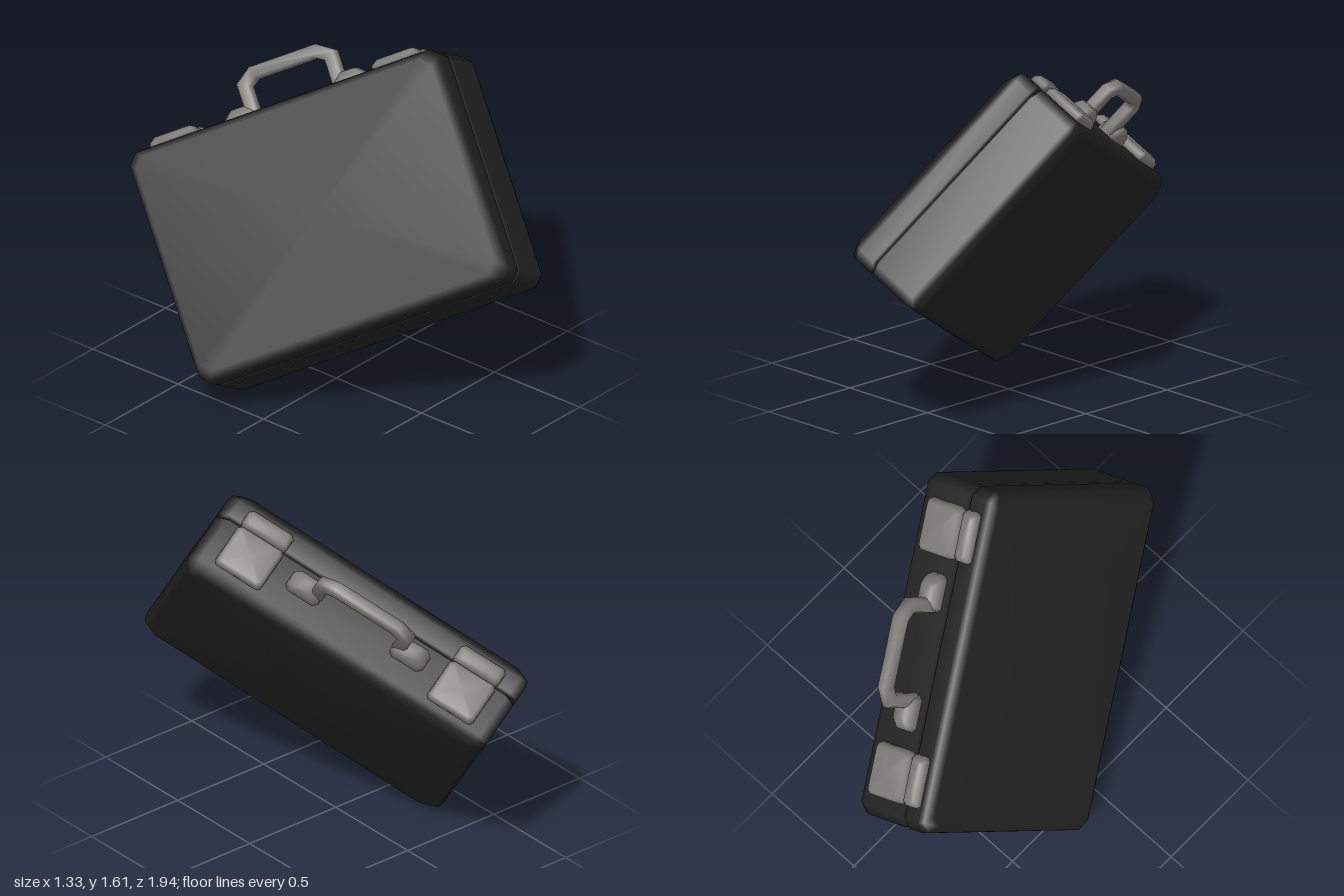
import * as THREE from 'three';
import { mergeVertices } from 'three/addons/utils/BufferGeometryUtils.js';

const L = 1.57, H = 1.115, T = 0.44;  // case length, height, thickness
const SEAM = 0.075;                   // z of the joint between lid and body

// Octagonal outline: half sizes with cut corners
function octagon(hx, hy, c) {
  return [[hx, -hy + c], [hx, hy - c], [hx - c, hy], [-hx + c, hy],
    [-hx, hy - c], [-hx, -hy + c], [-hx + c, -hy], [hx - c, -hy]];
}

// Loft outlines stacked along z, capped at both ends; rings are [z, halfX, halfY, cut]
function loft(rings) {
  const pos = [], idx = [], n = 8;
  for (const [z, hx, hy, c] of rings)
    for (const [x, y] of octagon(hx, hy, c)) pos.push(x, y, z);
  for (let r = 0; r < rings.length - 1; r++)
    for (let i = 0; i < n; i++) {
      const a = r * n + i, b = r * n + (i + 1) % n;
      idx.push(a, b, b + n, a, b + n, a + n);
    }
  const last = rings.length - 1, c0 = pos.length / 3;
  pos.push(0, 0, rings[0][0], 0, 0, rings[last][0]);
  for (let i = 0; i < n; i++) {
    const j = (i + 1) % n;
    idx.push(c0, j, i, c0 + 1, last * n + i, last * n + j);
  }
  const g = new THREE.BufferGeometry();
  g.setAttribute('position', new THREE.Float32BufferAttribute(pos, 3));
  g.setIndex(idx);
  g.computeVertexNormals();
  return g;
}

// Low mound standing on the top of the case: levels are [height, halfX, halfZ, cut]
function mound(levels, x, z) {
  return loft(levels).rotateX(-Math.PI / 2).translate(x, H / 2, z);
}

export function createModel() {
  const black = new THREE.MeshStandardMaterial({ color: 0x212121 });
  black.name = 'black leather';
  const metal = new THREE.MeshStandardMaterial({ color: 0x7c7a76 });
  metal.name = 'grey metal';

  // The case lies tilted: axes along its length, height and lid side
  const tilt = new THREE.Matrix4().makeBasis(
    new THREE.Vector3(0.70, 0.685, 1.205).normalize(),
    new THREE.Vector3(0.33, 0.765, -0.715).normalize(),
    new THREE.Vector3(-0.36, 0.22, 0.07).normalize()
  ).setPosition(0, 0.835, 0);

  const group = new THREE.Group();
  group.name = 'briefcase';
  const add = (name, geometry, material) => {
    geometry.applyMatrix4(tilt);
    const mesh = new THREE.Mesh(geometry, material);
    mesh.name = name;
    group.add(mesh);
  };
  const ring = (z, inset) => [z, L / 2 - inset, H / 2 - inset, 0.045];

  // Body and shallower lid, meeting in a narrow groove
  add('body', loft([ring(-T / 2, 0.045), ring(-T / 2 + 0.03, 0.008), ring(-T / 2 + 0.06, 0),
    ring(SEAM - 0.012, 0), ring(SEAM, 0.014)]), black);
  add('lid', loft([ring(SEAM, 0.014), ring(SEAM + 0.012, 0),
    ring(T / 2 - 0.05, 0), ring(T / 2 - 0.025, 0.008), ring(T / 2, 0.04)]), black);

  for (const s of [-1, 1]) {
    const side = s > 0 ? 'left' : 'right';
    // Latch plate on the body and rounded catch on the lid
    add(side + 'LatchPlate', mound([[-0.01, 0.122, 0.108, 0.015], [0.025, 0.118, 0.104, 0.015],
      [0.042, 0.1, 0.09, 0.015]], s * 0.56, -0.036), metal);
    add(side + 'LatchCatch', mound([[-0.01, 0.12, 0.046, 0.015], [0.022, 0.115, 0.042, 0.015],
      [0.042, 0.095, 0.026, 0.012]], s * 0.56, 0.118), metal);
    // Handle mount
    add(side + 'HandleMount', mound([[-0.01, 0.088, 0.055, 0.02], [0.035, 0.078, 0.05, 0.02],
      [0.07, 0.045, 0.035, 0.015]], s * 0.275, -0.01), metal);
  }

  // Carrying handle: bracket outline with cut corners and soft edges
  const outline = [[0.24, 0.01], [0.24, 0.175], [0.165, 0.225], [-0.165, 0.225], [-0.24, 0.175], [-0.24, 0.01],
    [-0.195, 0.01], [-0.195, 0.155], [-0.15, 0.183], [0.15, 0.183], [0.195, 0.155], [0.195, 0.01]];
  const shape = new THREE.Shape(outline.map(([x, y]) => new THREE.Vector2(x, y)));
  let handle = new THREE.ExtrudeGeometry(shape, {
    depth: 0.03, bevelEnabled: true, bevelThickness: 0.016, bevelSize: 0.01, bevelSegments: 1
  });
  handle.deleteAttribute('uv');
  handle.deleteAttribute('normal');
  handle = mergeVertices(handle, 1e-4);
  handle.computeVertexNormals();
  add('handle', handle.translate(0, H / 2, -0.02), metal);

  return group;
}
